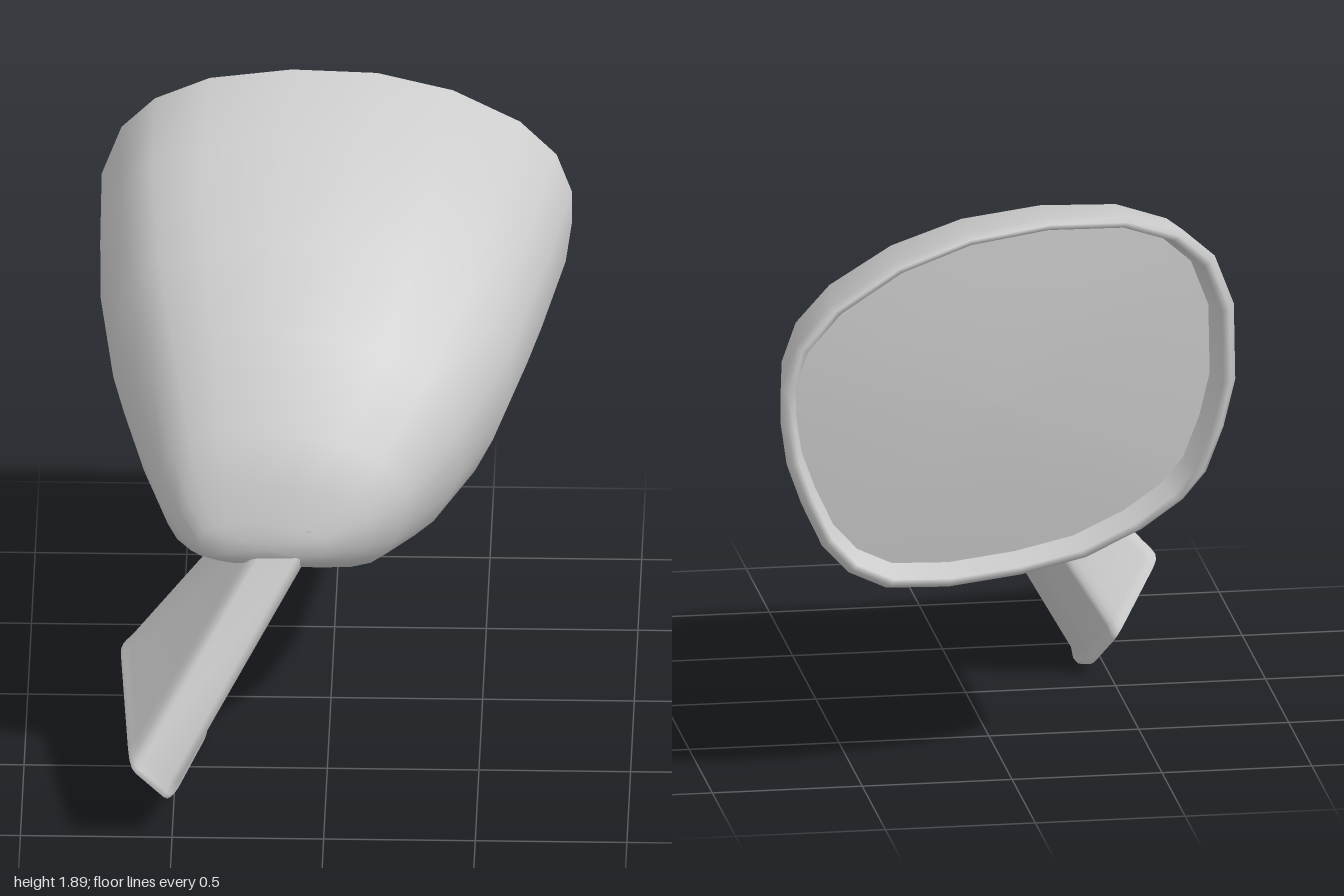
import * as THREE from 'three';

const V = (x, y, z) => new THREE.Vector3(x, y, z);

// Skin a list of closed rings with smooth normals
function loft(name, rings) {
  const n = rings[0].length, index = [];
  for (let i = 0; i < rings.length - 1; i++) {
    for (let j = 0; j < n; j++) {
      const k = (j + 1) % n;
      const a = i * n + j, b = i * n + k, c = a + n, d = b + n;
      index.push(a, c, b, b, c, d);
    }
  }
  const geo = new THREE.BufferGeometry().setFromPoints(rings.flat());
  geo.setIndex(index);
  geo.computeVertexNormals();
  const mesh = new THREE.Mesh(geo, new THREE.MeshStandardMaterial({ color: 0xcccccc, side: THREE.DoubleSide }));
  mesh.name = name;
  return mesh;
}

const centre = ring => ring.reduce((s, p) => s.add(p), V(0, 0, 0)).divideScalar(ring.length);
const scaled = (ring, s) => { const c = centre(ring); return ring.map(p => p.clone().sub(c).multiplyScalar(s).add(c)); };
const moved = (ring, x, y, z) => ring.map(p => p.clone().add(V(x, y, z)));

// Round every corner of a polygon
function rounded(ring, amount = 0.22) {
  const n = ring.length;
  return ring.flatMap((p, i) => {
    const a = p.clone().lerp(ring[(i + n - 1) % n], amount);
    const b = p.clone().lerp(ring[(i + 1) % n], amount);
    return new THREE.QuadraticBezierCurve3(a, p, b).getPoints(3);
  });
}

// Rim outline, clockwise from the top as seen from the front
const OUTLINE = [
  [-0.15, 1.88], [0.13, 1.85], [0.38, 1.77], [0.6, 1.64], [0.72, 1.51], [0.77, 1.37], [0.77, 1.25],
  [0.75, 1.11], [0.7, 0.97], [0.63, 0.82], [0.54, 0.72], [0.41, 0.655], [0.2, 0.64], [-0.05, 0.66],
  [-0.27, 0.7], [-0.46, 0.78], [-0.6, 0.87], [-0.68, 0.96], [-0.74, 1.11], [-0.78, 1.27],
  [-0.775, 1.53], [-0.71, 1.7], [-0.6, 1.8], [-0.42, 1.865]
];

// Housing section: the outline fitted to a box, tilted about y, sagging by a power
function section([z, x0, x1, y0, y1, tilt = 0, sag = 1]) {
  return OUTLINE.map(([px, py]) => {
    const x = x0 + (px + 0.78) / 1.55 * (x1 - x0);
    const y = y0 + ((py - 0.64) / 1.24) ** sag * (y1 - y0);
    return V(x, y, z - tilt * x);
  });
}

export function createModel() {
  const group = new THREE.Group();
  group.name = 'wingMirror';

  // Housing shell from the rim to the rounded nose
  const shell = [
    [-0.88, -0.78, 0.77, 0.64, 1.88, 0.14],
    [-0.5, -0.77, 0.7, 0.65, 1.81, 0.08],
    [-0.1, -0.72, 0.59, 0.655, 1.64, 0.03, 1.05],
    [0.18, -0.64, 0.44, 0.66, 1.45, 0, 1.12],
    [0.42, -0.55, 0.26, 0.7, 1.21, 0, 1.2],
    [0.51, -0.49, 0.14, 0.75, 1.05, 0, 1.25],
    [0.56, -0.42, 0, 0.785, 0.93, 0, 1.2],
    [0.575, -0.33, -0.08, 0.81, 0.88]
  ].map(section);
  const nose = shell[shell.length - 1];
  const rim = shell[0];
  const lip = moved(scaled(rim, 0.975), 0, 0, -0.03);
  const lipInner = moved(scaled(rim, 0.945), 0, 0, -0.02);
  const glassEdge = moved(scaled(rim, 0.91), 0, 0, 0.1);
  group.add(loft('housing', [glassEdge, lipInner, lip, ...shell, scaled(nose, 0)]));

  // Slightly domed mirror glass
  const glass = [0, 0.35, 0.7, 1].map(s => moved(scaled(glassEdge, s), 0, 0, -0.03 * (1 - s * s)));
  group.add(loft('mirrorGlass', glass));

  // Stalk from the underside of the housing to the sloping foot
  const foot = rounded([
    V(-0.64, 0.26, 1.02), V(-0.51, 0.11, 0.97), V(-0.41, -0.01, 0.28),
    V(-0.45, 0.02, 0.17), V(-0.52, 0.14, 0.08), V(-0.69, 0.35, 0.28)
  ], 0.15);
  const neck = rounded([
    V(-0.25, 0.82, 0.57), V(-0.07, 0.82, 0.57), V(-0.07, 0.61, 0.16),
    V(-0.12, 0.61, 0.07), V(-0.22, 0.62, 0.03), V(-0.4, 0.66, 0.2)
  ], 0.15);
  const flare = moved(scaled(neck, 1.13), 0.03, 0.07, -0.05);
  const ankle = moved(scaled(foot, 0.95), 0.025, 0.045, -0.01);
  const footLip = moved(foot, 0.012, 0.015, 0);
  group.add(loft('stalk', [flare, neck, ankle, footLip, foot]));

  // Flat underside of the foot
  group.add(loft('footPlate', [foot, scaled(foot, 0)]));

  return group;
}
